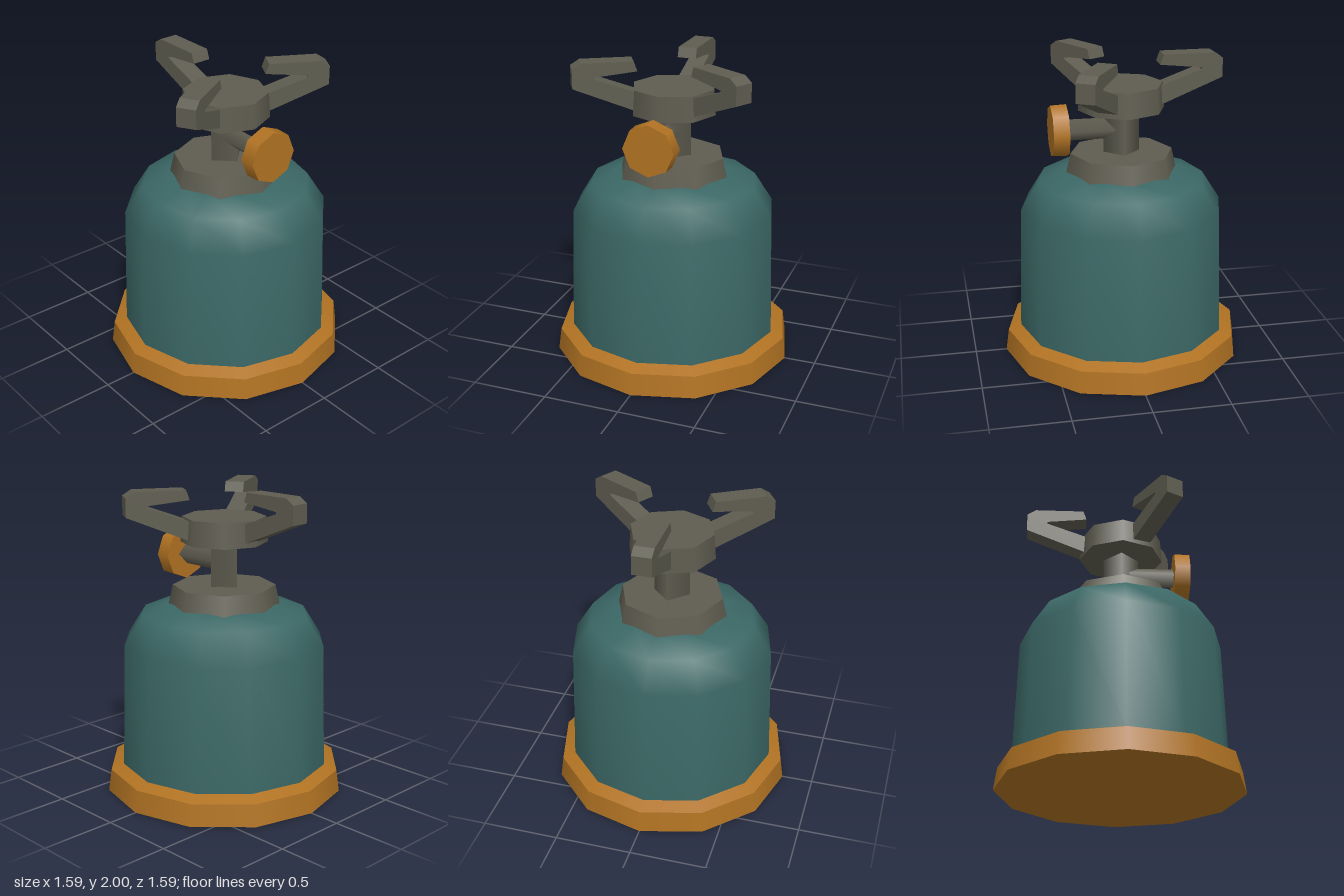
import * as THREE from 'three';

export function createModel() {
  const group = new THREE.Group();
  const material = (name, color) => {
    const m = new THREE.MeshStandardMaterial({ color });
    m.name = name;
    return m;
  };
  const teal = material('teal paint', 0x3b6866);
  const orange = material('orange plastic', 0xb07222);
  const grey = material('grey metal', 0x5f5d50);

  const add = (name, geometry, mat, parent = group) => {
    const mesh = new THREE.Mesh(geometry, mat);
    mesh.name = name;
    parent.add(mesh);
    return mesh;
  };
  // Upright frustum from y0 to y1
  const frustum = (r0, r1, y0, y1, sides, open = false) =>
    new THREE.CylinderGeometry(r1, r0, y1 - y0, sides, 1, open).translate(0, (y0 + y1) / 2, 0);

  // Foot ring with a shallow chamfer
  const base = new THREE.Group();
  base.name = 'base';
  group.add(base);
  add('baseSkirt', frustum(0.795, 0.775, 0, 0.145, 12), orange, base);
  add('baseChamfer', frustum(0.775, 0.685, 0.145, 0.18, 12), orange, base);

  // Gas canister with a rounded shoulder
  const profile = [[0.69, 0.17], [0.665, 1.0], [0.545, 1.19], [0.33, 1.25], [0, 1.25]]
    .map(([r, y]) => new THREE.Vector2(r, y));
  add('canister', new THREE.LatheGeometry(profile, 12), teal);

  // Collar, square stem and burner head
  add('collar', frustum(0.368, 0.335, 1.22, 1.365, 8), grey);
  add('stem', frustum(0.118, 0.118, 1.34, 1.67, 4), grey);
  add('burnerHead', frustum(0.283, 0.272, 1.65, 1.815, 8), grey);

  // Valve pipe and knob pointing to +x
  const sideways = (r0, r1, x0, x1, sides) =>
    frustum(r0, r1, x0, x1, sides).rotateZ(-Math.PI / 2).translate(0, 1.523, 0);
  add('valvePipe', sideways(0.07, 0.07, 0, 0.37, 4), grey);
  add('valveKnob', sideways(0.172, 0.168, 0.357, 0.46, 8), orange);

  // Three hooked pot supports: outline is radius by height
  const outline = [
    [0.2, 1.655], [0.257, 1.68], [0.648, 1.84], [0.648, 1.963], [0.59, 2.0],
    [0.262, 2.0], [0.24, 1.936], [0.51, 1.908], [0.51, 1.895], [0.25, 1.8], [0.2, 1.78],
  ].map(([r, y]) => new THREE.Vector2(r, y));
  const arm = new THREE.ExtrudeGeometry(new THREE.Shape(outline), { depth: 0.125, bevelEnabled: false });
  arm.translate(0, 0, -0.0625);
  for (let i = 0; i < 3; i++) {
    add('potSupport' + (i + 1), arm, grey).rotation.y = Math.PI + (i * Math.PI * 2) / 3;
  }
  return group;
}
